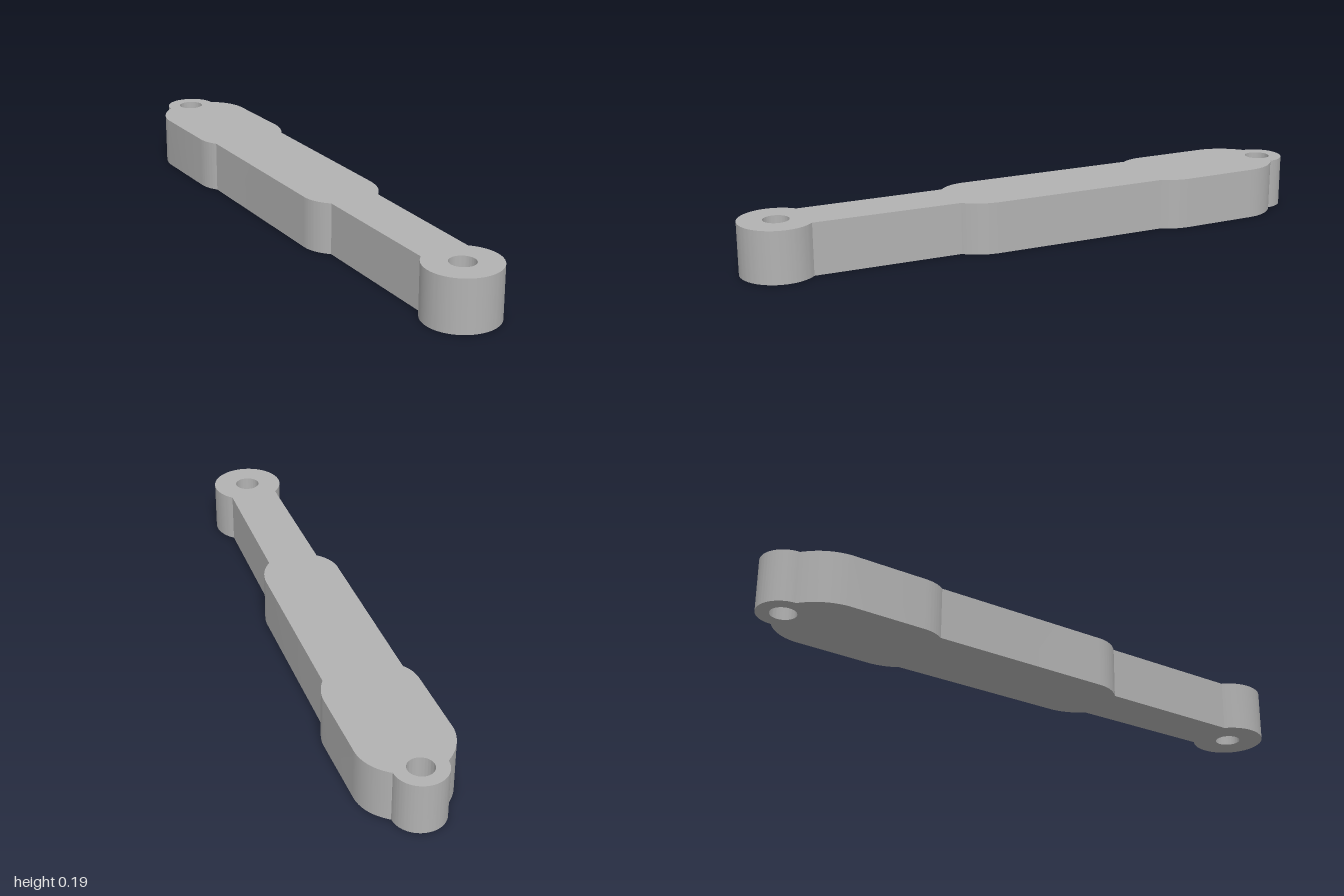
import * as THREE from 'three';
import { toCreasedNormals } from 'three/addons/utils/BufferGeometryUtils.js';

const HEIGHT = 0.192;
const smallBoss = { x: -0.46, z: -0.906, r: 0.094 };
const largeBoss = { x: 0.425, z: 0.863, r: 0.136 };
const HOLE_RADIUS = 0.047;

// Smooth bulge from the current point, passing through mid, to end
function bulge(shape, mid, end) {
  const start = shape.currentPoint;
  shape.quadraticCurveTo(
    2 * mid[0] - (start.x + end[0]) / 2,
    2 * mid[1] - (start.y + end[1]) / 2,
    end[0], end[1]
  );
}

// Outer arc of a boss between two outline junctions
function bossArc(shape, boss, from, to) {
  const angle = (p) => Math.atan2(p[1] - boss.z, p[0] - boss.x);
  shape.absarc(boss.x, boss.z, boss.r, angle(from), angle(to), true);
}

export function createModel() {
  const group = new THREE.Group();
  group.name = 'linkArm';
  const grey = new THREE.MeshStandardMaterial({ color: 0xb2b2b2 });
  grey.name = 'plain grey';

  // Outline in plan: shape x is model x, shape y is model z
  const outline = new THREE.Shape();
  const neckRight = [0.463, 0.732];
  const neckLeft = [0.298, 0.815];
  outline.moveTo(...neckRight);

  // Right edge, from the large boss to the small one
  outline.lineTo(0.222, 0.238);
  bulge(outline, [0.229, 0.173], [0.212, 0.106]);
  outline.lineTo(-0.093 + 0.003, -0.497);
  bulge(outline, [-0.092, -0.552], [-0.108, -0.603]);
  outline.lineTo(-0.236, -0.847);
  bulge(outline, [-0.29, -0.915], [-0.372, -0.948]);
  bossArc(outline, smallBoss, [-0.372, -0.948], [-0.545, -0.862]);

  // Left edge, back to the large boss
  bulge(outline, [-0.563, -0.777], [-0.548, -0.693]);
  outline.lineTo(-0.415, -0.434);
  bulge(outline, [-0.388, -0.396], [-0.352, -0.37]);
  outline.lineTo(-0.045, 0.243);
  bulge(outline, [-0.008, 0.292], [0.05, 0.322]);
  outline.lineTo(...neckLeft);
  bossArc(outline, largeBoss, neckLeft, neckRight);

  // Pivot holes
  for (const boss of [smallBoss, largeBoss]) {
    const hole = new THREE.Path();
    hole.absarc(boss.x, boss.z, HOLE_RADIUS, 0, Math.PI * 2, false);
    outline.holes.push(hole);
  }

  // Lay the plate flat, standing on y = 0
  const plate = new THREE.ExtrudeGeometry(outline, {
    depth: HEIGHT, bevelEnabled: false, curveSegments: 40,
  });
  plate.rotateX(Math.PI / 2);
  plate.translate(0, HEIGHT, 0);

  const arm = new THREE.Mesh(toCreasedNormals(plate, 0.35), grey);
  arm.name = 'arm';
  group.add(arm);
  return group;
}
